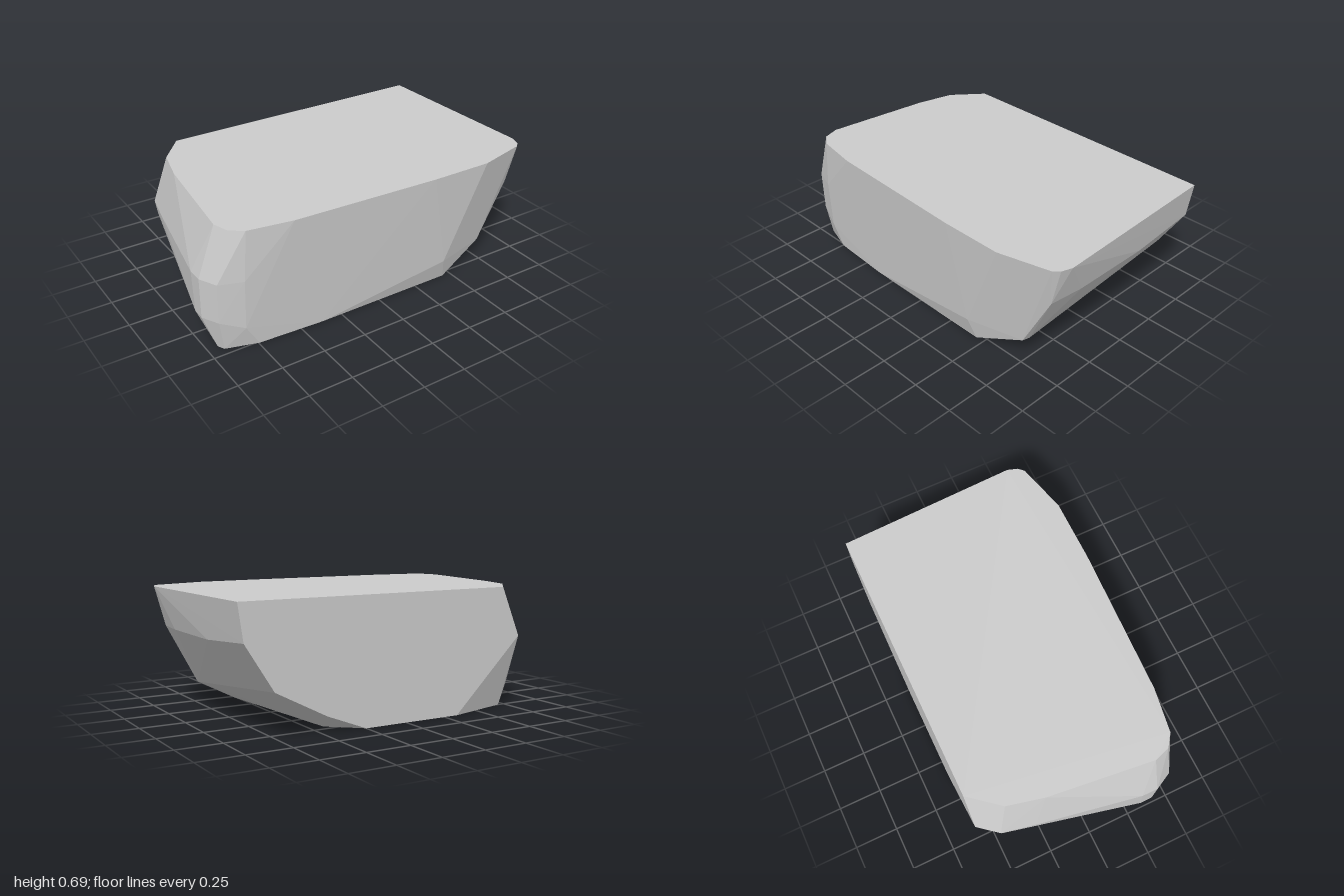
import * as THREE from 'three';
import { ConvexGeometry } from 'three/addons/geometries/ConvexGeometry.js';

// Flat-topped rock: the convex hull of a few cross-sections
export function createModel() {
  const group = new THREE.Group();
  group.name = 'rock';
  const points = [];
  const at = (y, outline) => outline.forEach(([x, z]) => points.push(new THREE.Vector3(x, y, z)));

  // Flat top
  at(0.69, [[-0.64, -0.6], [-0.78, -0.43], [-0.83, -0.22], [-0.9, 0.38], [-0.87, 0.47], [-0.8, 0.52],
    [-0.55, 0.56], [0.3, 0.595], [0.66, 0.595], [0.95, 0.52], [0.98, 0.49], [1, 0.43], [0.96, -0.6]]);

  // Flat underside
  at(0, [[-0.335, -0.6], [-0.71, -0.5], [-0.85, 0.025], [-0.94, 0.42], [-0.92, 0.457], [-0.744, 0.51],
    [-0.37, 0.53], [0.45, 0.53], [0.51, 0.47], [0.42, -0.45], [0.25, -0.6]]);

  // Flat back, cut straight at z = -0.6
  [[0.93, 0.49], [0.77, 0.24], [0.48, 0.09], [-0.76, 0.41]].forEach(([x, y]) =>
    points.push(new THREE.Vector3(x, y, -0.6)));

  // Bulging sides between top and underside
  at(0.46, [[0.94, 0.28], [0.94, -0.18], [0.92, 0.48]]);
  at(0.41, [[-0.85, -0.49], [-0.89, -0.3], [-1, 0.29], [-1, 0.38], [-0.95, 0.48], [-0.82, 0.525]]);
  at(0.33, [[-0.84, -0.48]]);
  at(0.18, [[-1, 0.31], [-1, 0.38], [-0.95, 0.475]]);
  at(0.125, [[-0.78, -0.48], [-0.82, 0.515], [0.75, 0.44], [0.74, 0.48], [0.42, 0.565]]);

  const body = new THREE.Mesh(new ConvexGeometry(points),
    new THREE.MeshStandardMaterial({ color: 0xcccccc, flatShading: true }));
  body.name = 'rockBody';
  group.add(body);
  return group;
}
